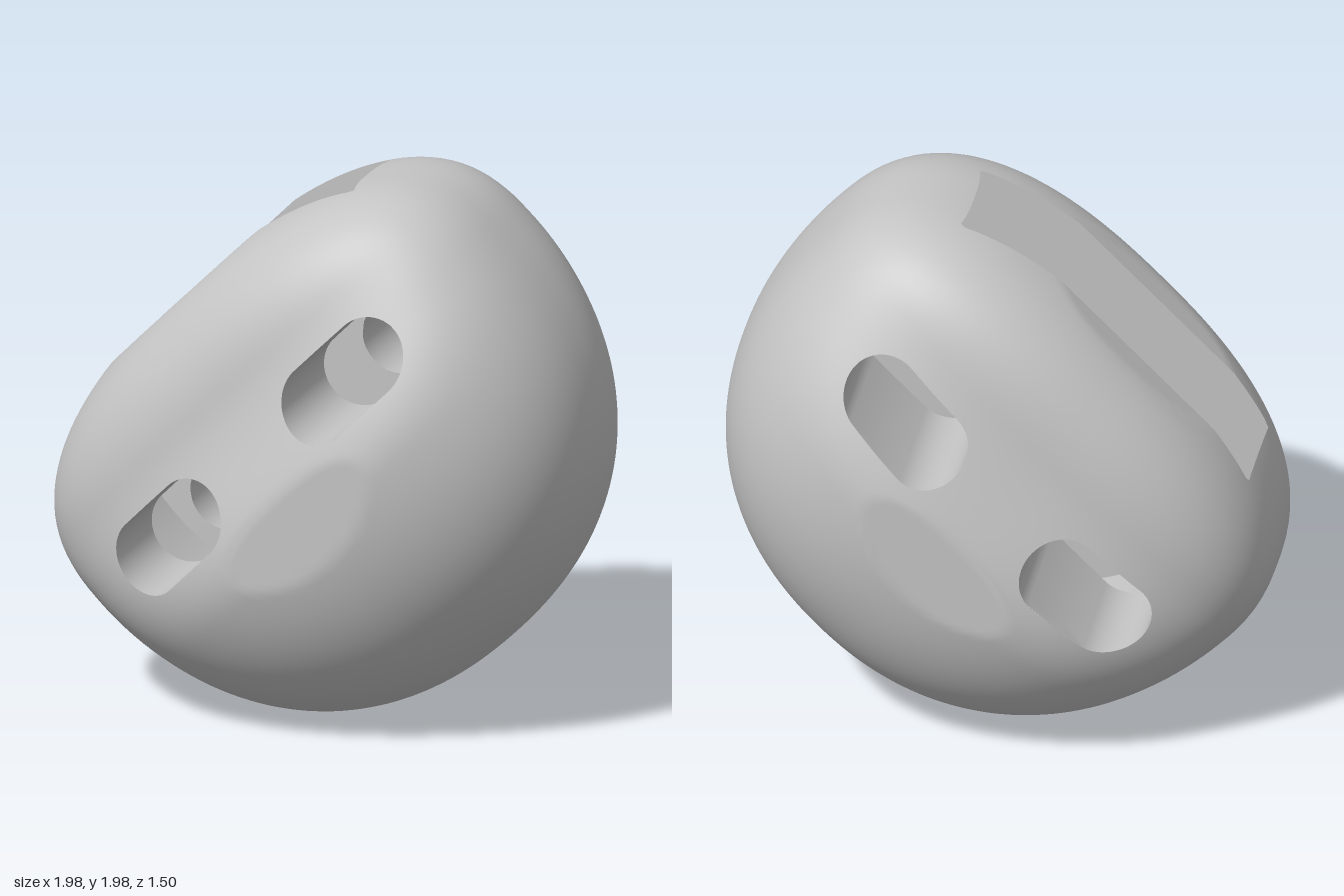
import * as THREE from 'three';

// Local frame: x runs along the flat edge, y = -depth below the flat edge, z is thickness.
const V = (x, y, z) => new THREE.Vector3(x, y, z);

// Scalar fields, negative inside.
// Body: rounded dome, thinner near the flat edge, trimmed flat on the edge and both cheeks
function bodyField(p) {
  const d = -p.y, t = d - 0.57;
  const n = t > 0 ? 2.17 : 2.45;
  const rho = Math.pow(Math.abs(t / (t > 0 ? 1.09 : 0.6)) ** n + Math.abs(p.x / 1.033) ** n, 1 / n);
  const s = THREE.MathUtils.smoothstep(d, 0.35, 0.95);
  const half = 0.61 + 0.19 * s, power = 3 - 0.6 * s;
  const dome = rho ** power + Math.abs(p.z / half) ** power - 1;
  return Math.max(dome, -3 * d, 3 * (Math.abs(p.z) - 0.75));
}
const SLOT = { x: 0.458, y: -0.605, half: 0.12, r: 0.14 };
const slotField = (p) => {
  const dx = Math.max(Math.abs(Math.abs(p.x) - SLOT.x) - SLOT.half, 0);
  return Math.hypot(dx, p.y - SLOT.y) - SLOT.r;
};
const CH = { x: 0.053, y: -0.555, r: 0.84, half: 0.2 };
const channelProfile = (p) => Math.hypot(p.x - CH.x, p.y - CH.y) - CH.r;
const channelField = (p) => Math.max(channelProfile(p), Math.abs(p.z) - CH.half);
const not = (f) => (p) => -f(p);

// Surface normal as the gradient of a field; a wider step softens creases
function gradient(f, e = 1e-3) {
  return (p) => {
    const g = (x, y, z) => f(V(p.x + x, p.y + y, p.z + z)) - f(V(p.x - x, p.y - y, p.z - z));
    return V(g(e, 0, 0), g(0, e, 0), g(0, 0, e)).normalize();
  };
}

// Point where a field changes sign between a (inside) and b (outside)
function crossing(f, a, b) {
  let lo = 0, hi = 1;
  for (let i = 0; i < 20; i++) {
    const m = (lo + hi) / 2;
    if (f(a.clone().lerp(b, m)) < 0) lo = m; else hi = m;
  }
  return a.clone().lerp(b, (lo + hi) / 2);
}

// Keep the part of a polygon where the field is negative
function clip(poly, f) {
  const out = [];
  poly.forEach((a, i) => {
    const b = poly[(i + 1) % poly.length];
    const inA = f(a) < 0, inB = f(b) < 0;
    if (inA) out.push(a);
    if (inA !== inB) out.push(inA ? crossing(f, a, b) : crossing(f, b, a));
  });
  return out;
}

// Grid surface trimmed by fields, with normals from a rule
function trimmedSheet(nu, nv, point, normalAt, fields) {
  const grid = [];
  for (let j = 0; j <= nv; j++) for (let i = 0; i <= nu; i++) grid.push(point(i / nu, j / nv));
  const pos = [], nor = [];
  const addTriangle = (a, b, c) => {
    const face = b.clone().sub(a).cross(c.clone().sub(a));
    if (face.lengthSq() < 1e-16) return;
    const mid = a.clone().add(b).add(c).divideScalar(3);
    const tri = face.dot(normalAt(mid)) < 0 ? [a, c, b] : [a, b, c];
    for (const p of tri) {
      pos.push(p.x, p.y, p.z);
      nor.push(...normalAt(p).toArray());
    }
  };
  for (let j = 0; j < nv; j++) for (let i = 0; i < nu; i++) {
    const k = j * (nu + 1) + i, m = k + nu + 1;
    for (const tri of [[k, k + 1, m + 1], [k, m + 1, m]]) {
      let poly = tri.map((n) => grid[n]);
      for (const f of fields) if (poly.length) poly = clip(poly, f);
      for (let n = 1; n + 1 < poly.length; n++) addTriangle(poly[0], poly[n], poly[n + 1]);
    }
  }
  const g = new THREE.BufferGeometry();
  g.setAttribute('position', new THREE.Float32BufferAttribute(pos, 3));
  g.setAttribute('normal', new THREE.Float32BufferAttribute(nor, 3));
  return g;
}

export function createModel() {
  const grey = new THREE.MeshStandardMaterial({ color: 0xc4c4c4 });
  grey.name = 'plain grey';
  const model = new THREE.Group();
  model.name = 'slottedBody';
  const tilted = new THREE.Group();
  tilted.name = 'tiltedBody';
  tilted.rotation.z = Math.PI / 4;
  tilted.position.set(-0.495, 1.5, 0);
  model.add(tilted);
  const add = (name, geometry) => {
    const mesh = new THREE.Mesh(geometry, grey);
    mesh.name = name;
    tilted.add(mesh);
  };

  // Rounded outer shell, found along rays from the middle
  const core = V(0, -0.75, 0);
  add('outerShell', trimmedSheet(180, 110, (s, t) => {
    const a = s * Math.PI * 2, b = t * Math.PI;
    const dir = V(Math.cos(a) * Math.sin(b), Math.sin(a) * Math.sin(b), Math.cos(b));
    return crossing(bodyField, core, core.clone().addScaledVector(dir, 2));
  }, gradient(bodyField, 0.03), [not(slotField), not(channelField)]));

  // Walls of the two through slots
  for (const side of [-1, 1]) {
    add(side < 0 ? 'lowerSlotWall' : 'upperSlotWall', trimmedSheet(64, 40, (s, t) => {
      const a = s * Math.PI * 2, c = Math.cos(a);
      const shift = Math.abs(c) < 1e-6 ? 0 : Math.sign(c) * SLOT.half;
      return V(side * SLOT.x + shift + SLOT.r * c, SLOT.y + SLOT.r * Math.sin(a), -0.8 + 1.6 * t);
    }, gradient(not(slotField)), [bodyField, not(channelField)]));
  }

  // Round floor of the strap channel, open through the flat edge
  add('channelFloor', trimmedSheet(128, 8, (s, t) => {
    const a = s * Math.PI * 2;
    return V(CH.x + CH.r * Math.cos(a), CH.y + CH.r * Math.sin(a), CH.half * (2 * t - 1));
  }, gradient(not(channelProfile)), [bodyField]));

  // Flat sides of the channel
  for (const side of [-1, 1]) {
    add(side < 0 ? 'channelBackSide' : 'channelFrontSide', trimmedSheet(50, 50,
      (s, t) => V(CH.x + (2 * s - 1) * 0.9, CH.y + (2 * t - 1) * 0.9, side * CH.half),
      () => V(0, 0, -side), [bodyField, channelProfile, not(slotField)]));
  }
  return model;
}
